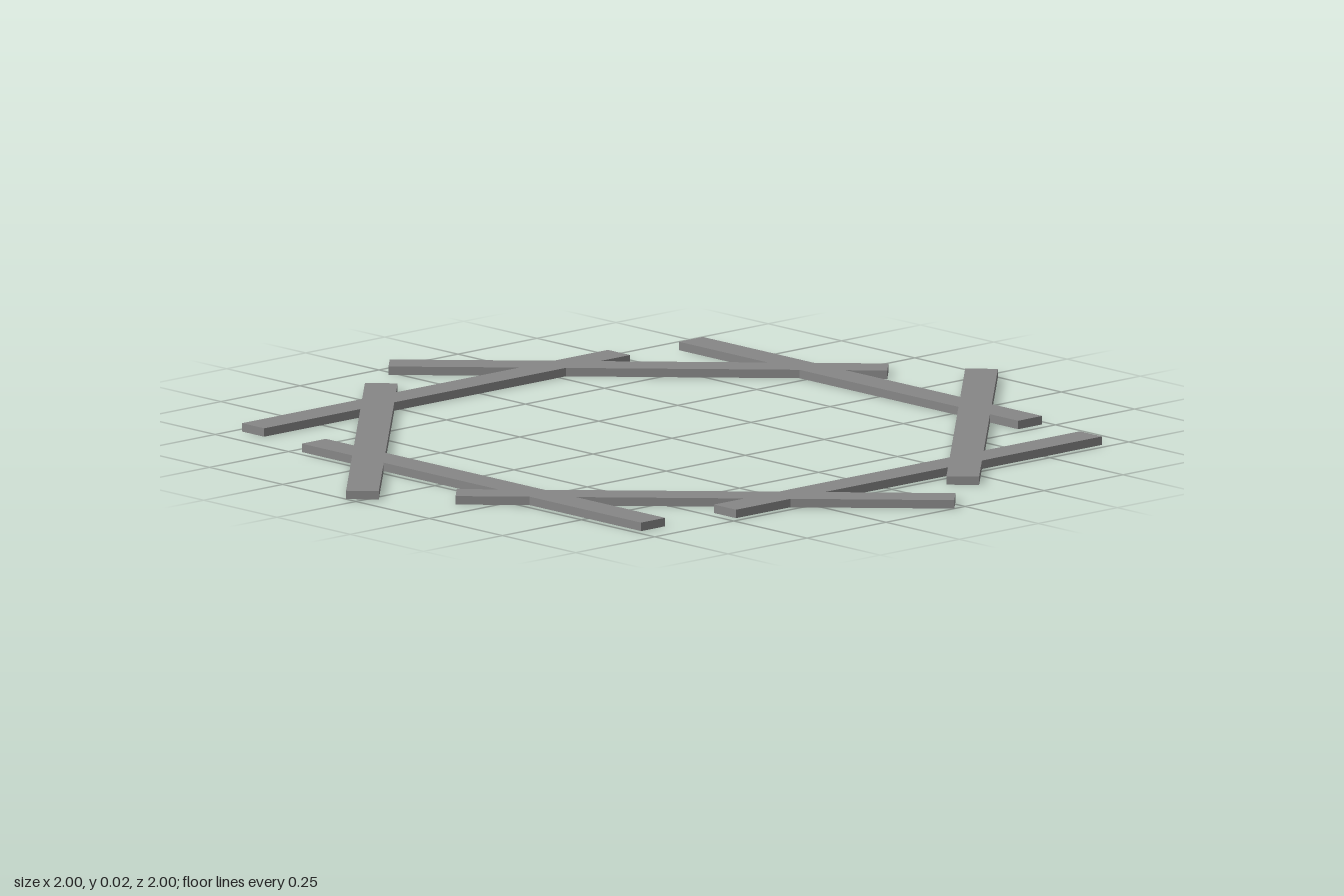
import * as THREE from 'three';

const COUNT = 8;
const LENGTH = 1.158, THICKNESS = 0.02, WIDTH = 0.076;
const RADIUS = 0.693; // centre of the ring to the bar's centre line
const SHIFT = 0.104;  // slide of each bar along its own length

export function createModel() {
  const group = new THREE.Group();
  group.name = 'barRing';
  const material = new THREE.MeshStandardMaterial({ color: 0x868686 });

  // One flat bar, lying on the ground and offset from the ring's centre
  const geometry = new THREE.BoxGeometry(LENGTH, THICKNESS, WIDTH);
  geometry.translate(SHIFT, THICKNESS / 2, RADIUS);

  // Eight overlapping bars turned about the centre
  for (let i = 0; i < COUNT; i++) {
    const bar = new THREE.Mesh(geometry, material);
    bar.name = `bar${i + 1}`;
    bar.rotation.y = (i / COUNT) * Math.PI * 2;
    group.add(bar);
  }
  return group;
}
